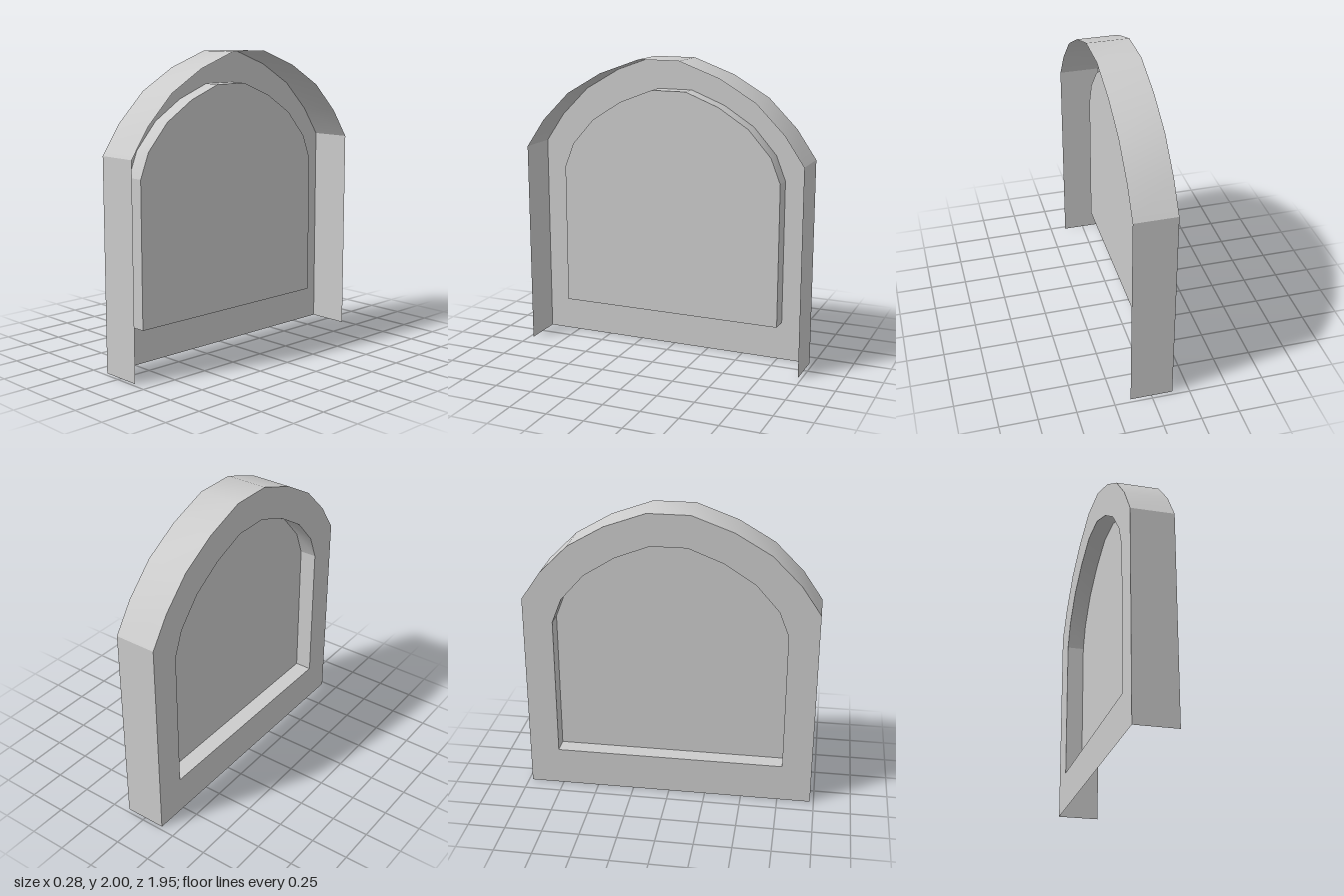
import * as THREE from 'three';

const material = new THREE.MeshStandardMaterial({ color: 0xcccccc, side: THREE.DoubleSide });

const BACK = -0.14;   // plane of the frame
const FRONT = 0.14;   // open edge of the rim
const PANEL = -0.025; // plane of the recessed panel

// Half outlines as [z, y], from the bottom corner up to the crown
const OUTER = [[0.975, 0], [0.975, 1.38], [0.845, 1.57], [0.655, 1.76], [0.415, 1.9], [0.14, 2]];
const INNER = [[0.775, 0.26], [0.775, 1.225], [0.71, 1.39], [0.555, 1.565], [0.35, 1.695], [0.12, 1.785]];

// Completes a half outline by mirroring it in z
const mirror = (half) => [...half, ...half.map(([z, y]) => [-z, y]).reverse()];

const toVectors = (points) => points.map(([z, y]) => new THREE.Vector2(z, y));

// Smooth band following an outline between two x positions
function band(name, points, x0, x1) {
  const positions = [], index = [];
  points.forEach(([z, y], i) => {
    positions.push(x0, y, z, x1, y, z);
    if (i < points.length - 1) {
      const a = 2 * i;
      index.push(a, a + 1, a + 3, a, a + 3, a + 2);
    }
  });
  const geometry = new THREE.BufferGeometry();
  geometry.setAttribute('position', new THREE.Float32BufferAttribute(positions, 3));
  geometry.setIndex(index);
  geometry.computeVertexNormals();
  const mesh = new THREE.Mesh(geometry, material);
  mesh.name = name;
  return mesh;
}

// Flat sheet facing -x
function sheet(name, shape, x) {
  const geometry = new THREE.ShapeGeometry(shape).rotateY(-Math.PI / 2).translate(x, 0, 0);
  const mesh = new THREE.Mesh(geometry, material);
  mesh.name = name;
  return mesh;
}

// Two straight walls and a smooth arch, creased where they meet
function archedWalls(name, outline, x0, x1) {
  const group = new THREE.Group();
  group.name = name;
  group.add(
    band(name + 'FrontWall', outline.slice(0, 2), x0, x1),
    band(name + 'Arch', outline.slice(1, -1), x0, x1),
    band(name + 'BackWall', outline.slice(-2), x0, x1),
  );
  return group;
}

export function createModel() {
  const model = new THREE.Group();
  model.name = 'archedWindow';
  const outer = mirror(OUTER), inner = mirror(INNER);

  // Frame plate with the arched opening
  const frame = new THREE.Shape(toVectors(outer));
  frame.holes.push(new THREE.Path(toVectors(inner)));
  model.add(sheet('frame', frame, BACK));

  // Outer rim, open at the bottom and on the +x side
  model.add(archedWalls('rim', outer, BACK, FRONT));

  // Recess: reveal walls, sill and panel
  model.add(archedWalls('reveal', inner, BACK, PANEL));
  model.add(band('sill', [inner[inner.length - 1], inner[0]], BACK, PANEL));
  model.add(sheet('panel', new THREE.Shape(toVectors(inner)), PANEL));

  return model;
}
